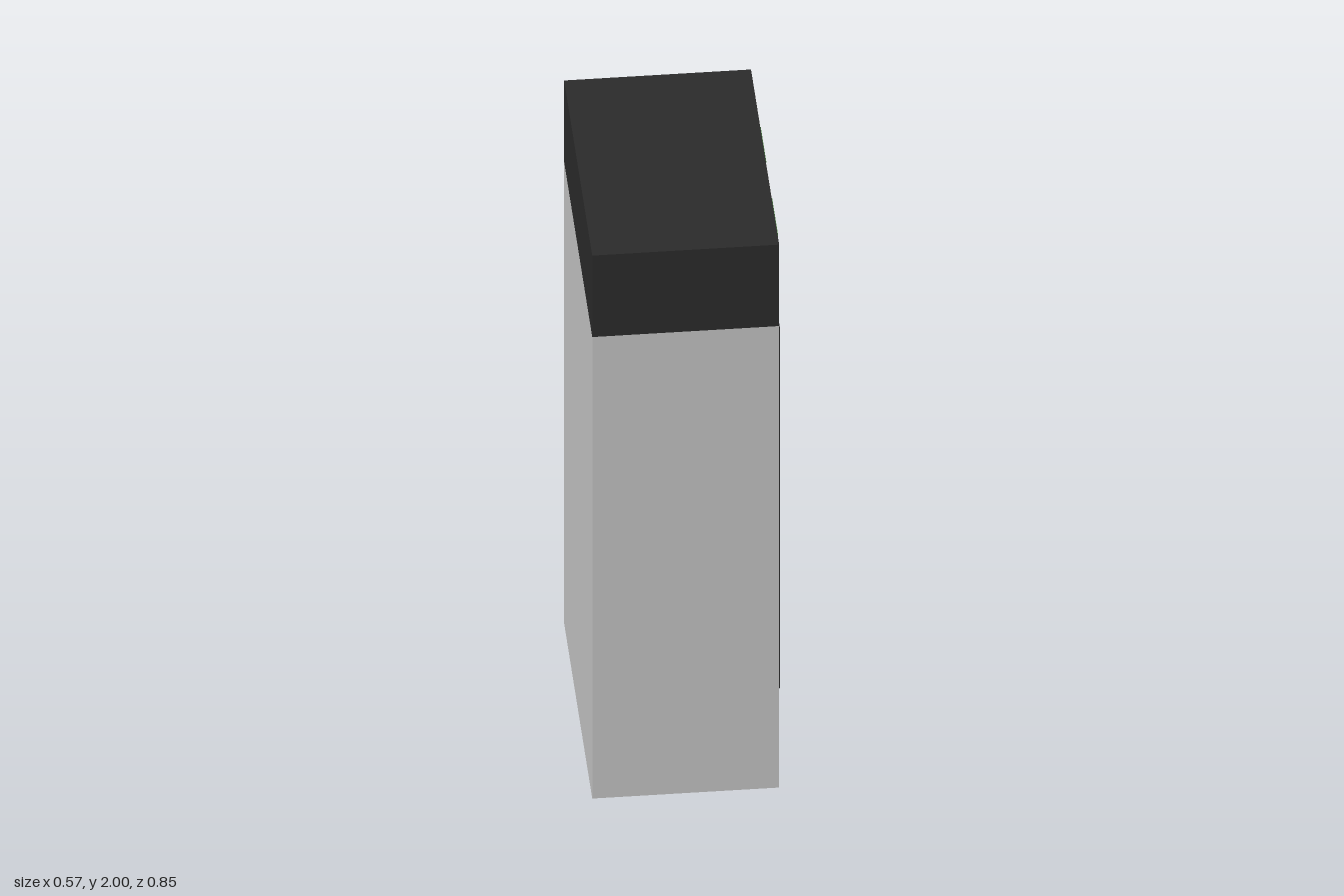
import * as THREE from 'three';

const mat = (name, color) => Object.assign(new THREE.MeshStandardMaterial({ color }), { name });

export function createModel() {
  const root = new THREE.Group();
  root.name = 'drinksFridge';
  const M = {
    grey: mat('cabinetGrey', 0xc2c2c2),
    white: mat('stripeWhite', 0xeeeeee),
    green: mat('stripeGreen', 0x4a8040),
    black: mat('trimBlack', 0x2a2a2a),
    brown: mat('brownGlass', 0x5a3820),
    dark: mat('darkGreenGlass', 0x35423a),
    cream: mat('creamLabel', 0xd2ba78),
    orange: mat('orangeLabel', 0xe07a30),
    blue: mat('blueLabel', 0x2f8db0),
  };
  for (const k of ['brown', 'dark']) M[k].flatShading = true;

  const add = (parent, name, geo, material) => {
    const m = new THREE.Mesh(geo, material);
    m.name = name;
    parent.add(m);
    return m;
  };
  // Box given by its limits on each axis
  const box = (parent, name, material, [x0, x1], [y0, y1], [z0, z1]) => {
    const m = add(parent, name, new THREE.BoxGeometry(x1 - x0, y1 - y0, z1 - z0), material);
    m.position.set((x0 + x1) / 2, (y0 + y1) / 2, (z0 + z1) / 2);
    return m;
  };
  // Rectangular ring in the z-y plane, extruded along x
  const ring = (parent, name, material, [x0, x1], outer, inner) => {
    const trace = (p, [z0, z1, y0, y1]) =>
      p.moveTo(-z1, y0).lineTo(-z0, y0).lineTo(-z0, y1).lineTo(-z1, y1).closePath();
    const shape = trace(new THREE.Shape(), outer);
    shape.holes.push(trace(new THREE.Path(), inner));
    const g = new THREE.ExtrudeGeometry(shape, { depth: x1 - x0, bevelEnabled: false });
    g.rotateY(Math.PI / 2).translate(x0, 0, 0);
    return add(parent, name, g, material);
  };

  // Hollow cabinet, back wall and dark header
  const F = 0.267, W = 0.425;
  ring(root, 'cabinet', M.grey, [-0.24, F], [-W, W, 0, 1.7], [-0.375, 0.375, 0.345, 1.655]);
  box(root, 'backWall', M.grey, [-0.283, -0.24], [0, 1.7], [-W, W]);
  box(root, 'header', M.black, [-0.283, F], [1.7, 2], [-W, W]);

  // Striped sign on the header
  for (let i = 0; i < 4; i++) {
    const z = 0.345 - i * 0.172;
    box(root, 'signStripe', i % 2 ? M.white : M.green, [F, F + 0.004], [1.73, 1.98], [z - 0.172, z]);
  }

  // Door frame and central post
  ring(root, 'doorFrame', M.black, [0.245, 0.273], [-0.385, 0.385, 0.335, 1.665], [-0.367, 0.367, 0.352, 1.648]);
  box(root, 'doorPost', M.black, [0.245, 0.274], [0.34, 1.66], [-0.022, 0.025]);

  // Shelves
  for (const y of [0.84, 1.27]) box(root, 'shelf', M.grey, [-0.24, 0.215], [y - 0.016, y], [-0.375, 0.375]);

  // Louvred vent
  const vent = new THREE.Group();
  vent.name = 'vent';
  root.add(vent);
  box(vent, 'ventPlate', M.black, [F, 0.271], [0.09, 0.245], [-0.385, -0.1]);
  ring(vent, 'ventFrame', M.black, [F, 0.283], [-0.39, -0.095, 0.083, 0.25], [-0.376, -0.109, 0.097, 0.236]);
  for (let i = 0; i < 7; i++) {
    const slat = box(vent, 'ventSlat', M.black, [0.27, 0.28], [0.103 + i * 0.0185, 0.111 + i * 0.0185], [-0.378, -0.107]);
    slat.rotation.z = -0.4;
  }

  // Bottle pieces shared by every bottle
  const lathe = (pts) => new THREE.LatheGeometry(pts.map(([r, y]) => new THREE.Vector2(r, y)), 12);
  const glass = lathe([[0, 0], [0.056, 0], [0.06, 0.008], [0.06, 0.195], [0.052, 0.23], [0.028, 0.275], [0.022, 0.325], [0, 0.325]]);
  const cap = lathe([[0, 0.322], [0.024, 0.322], [0.029, 0.335], [0.029, 0.368], [0.022, 0.376], [0, 0.376]]);
  const collar = lathe([[0.022, 0.3], [0.028, 0.303], [0.028, 0.318], [0.022, 0.322]]);
  const wrap = (r, y0, y1, arc) =>
    new THREE.CylinderGeometry(r, r, y1 - y0, 10, 1, true, Math.PI / 2 - arc / 2, arc).translate(0, (y0 + y1) / 2, 0);
  const label = wrap(0.0615, 0.012, 0.18, 1.9);
  const patch = wrap(0.0635, 0.03, 0.155, 0.85);
  const dot = wrap(0.0625, 0.065, 0.085, 0.3);

  // Each bottle: z, x, glass, cap, label, patch
  const rows = [
    [0.35, [
      [0.3, 0.11, 'brown', 'orange', 'grey', 'orange'],
      [0.15, 0.11, 'brown', 'orange', 'grey', 'orange'],
      [0.015, 0.12, 'dark', 'blue', null, 'blue'],
      [-0.14, 0.11, 'dark', 'blue', null, 'blue'],
      [-0.305, 0.13, 'dark', 'brown', 'grey', 'brown']]],
    [0.84, [
      [0.3, 0.1, 'brown', 'brown', null, 'grey'],
      [0.155, 0.11, 'dark', 'brown', null, 'black'],
      [0.015, 0.11, 'brown', 'orange', 'grey', 'orange'],
      [-0.14, 0.1, 'brown', 'orange', 'grey', 'orange'],
      [-0.3, -0.03, 'brown', 'blue', 'blue', 'orange']]],
    [1.27, [
      [0.3, 0.1, 'dark', 'cream', 'cream', null],
      [0.16, 0.11, 'dark', 'cream', 'cream', null],
      [0.015, 0.11, 'dark', 'blue', null, 'blue'],
      [-0.14, 0.11, 'dark', 'blue', null, 'blue'],
      [-0.305, 0.135, 'dark', 'brown', 'grey', 'brown']]],
  ];
  for (const [y, bottles] of rows) {
    for (const [z, x, body, top, lab, pat] of bottles) {
      const b = new THREE.Group();
      b.name = 'bottle';
      b.position.set(x, y, z);
      add(b, 'bottleGlass', glass, M[body]);
      add(b, 'bottleCap', cap, M[top]);
      add(b, 'bottleCollar', collar, M[top === 'brown' ? 'brown' : 'black']);
      if (lab) add(b, 'bottleLabel', label, M[lab]);
      if (pat) add(b, 'labelPatch', pat === 'blue' ? dot : patch, M[pat]);
      root.add(b);
    }
  }
  return root;
}
